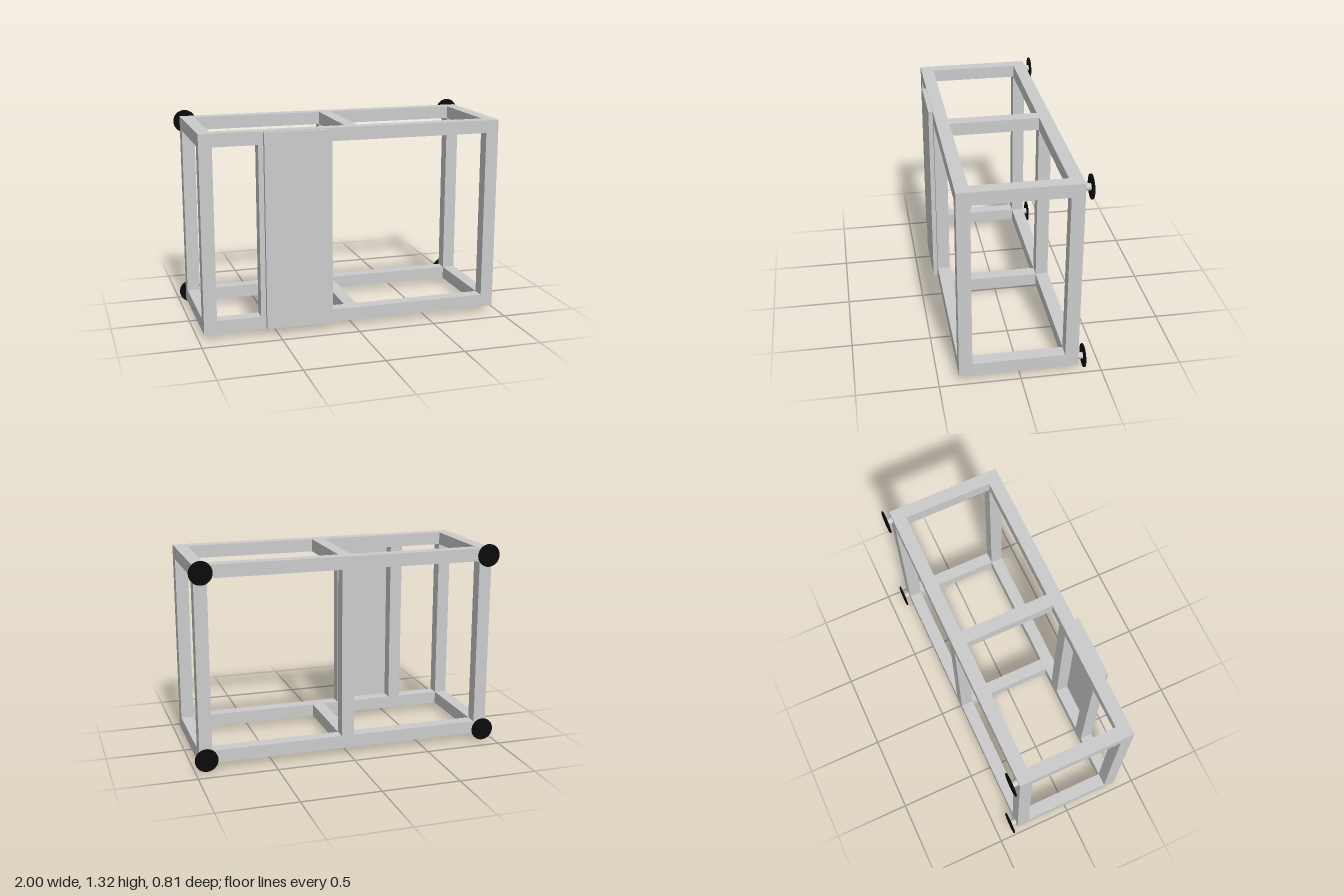
import * as THREE from 'three';

export function createModel() {
  const model = new THREE.Group();
  const grey = new THREE.MeshStandardMaterial({ color: 0xcccccc });
  const black = new THREE.MeshStandardMaterial({ color: 0x0a0a0a });

  // Box given by its lower and upper limits
  const box = (name, x0, x1, y0, y1, z0, z1) => {
    const mesh = new THREE.Mesh(new THREE.BoxGeometry(x1 - x0, y1 - y0, z1 - z0), grey);
    mesh.position.set((x0 + x1) / 2, (y0 + y1) / 2, (z0 + z1) / 2);
    mesh.name = name;
    model.add(mesh);
  };

  // Disc or pin lying along z
  const roundPart = (name, radius, x, y, z0, z1, material) => {
    const geometry = new THREE.CylinderGeometry(radius, radius, z1 - z0, 40).rotateX(Math.PI / 2);
    const mesh = new THREE.Mesh(geometry, material);
    mesh.position.set(x, y, (z0 + z1) / 2);
    mesh.name = name;
    model.add(mesh);
  };

  const t = 0.082; // bar thickness
  const X = 0.965, bottom = 0.036, top = 1.285, back = -0.36, front = 0.375;

  // Horizontal frames, bottom and top
  for (const [level, y] of [['bottom', bottom], ['top', top - t]]) {
    box(level + 'FrontRail', -X, X, y, y + t, front - t, front);
    box(level + 'BackRail', -X, X, y, y + t, back, back + t);
    for (const [side, x] of [['Right', -X], ['Middle', -t / 2], ['Left', X - t]]) {
      box(level + side + 'CrossBar', x, x + t, y, y + t, back + t, front - t);
    }
  }

  // Upright posts: four corners, back middle, and two beside the panel
  const post = (name, x, z) => box(name, x, x + t, bottom + t, top - t, z, z + t);
  for (const [side, x] of [['right', -X], ['left', X - t]]) {
    post(side + 'FrontPost', x, front - t);
    post(side + 'BackPost', x, back);
  }
  post('middleBackPost', -t / 2, back);
  post('panelRightPost', -0.605, front - t);
  post('panelLeftPost', -0.14 - t, front - t);

  // Thin panel on the front
  box('frontPanel', -0.573, -0.175, 0.041, 1.28, front, 0.403);

  // Mounting feet on the back corners
  for (const x of [-0.927, 0.927]) {
    for (const y of [0.073, 1.245]) {
      roundPart('footStem', 0.021, x, y, -0.396, back, grey);
      roundPart('footDisc', 0.073, x, y, -0.403, -0.395, black);
    }
  }
  return model;
}
